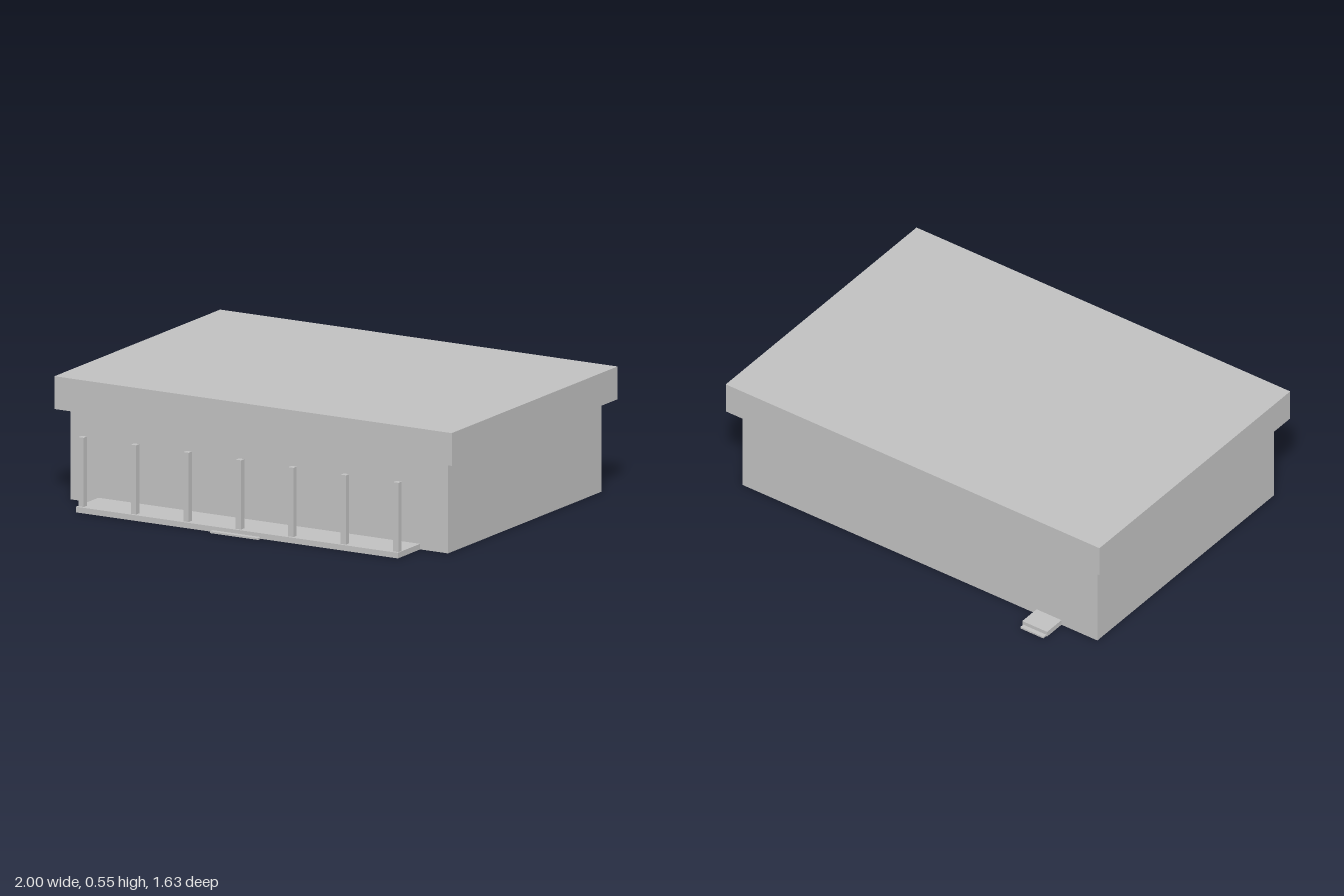
import * as THREE from 'three';

export function createModel() {
  const model = new THREE.Group();
  model.name = 'building';
  const grey = new THREE.MeshStandardMaterial({ color: 0xc0c0c0 });
  grey.name = 'light grey';

  // Box given by its minimum and maximum along each axis
  function block(name, [x0, x1], [y0, y1], [z0, z1], parent = model) {
    const mesh = new THREE.Mesh(new THREE.BoxGeometry(x1 - x0, y1 - y0, z1 - z0), grey);
    mesh.position.set((x0 + x1) / 2, (y0 + y1) / 2, (z0 + z1) / 2);
    mesh.name = name;
    parent.add(mesh);
  }

  // Main volume and overhanging flat roof
  block('walls', [-0.95, 0.95], [0, 0.407], [-0.69, 0.603]);
  block('roof', [-1, 1], [0.407, 0.553], [-0.743, 0.655]);

  // Front porch with its low step
  block('porchFloor', [-0.81, 0.81], [0, 0.025], [0.603, 0.792]);
  block('frontStep', [-0.122, 0.122], [0, 0.008], [0.792, 0.816]);

  // Row of slim porch posts
  const posts = new THREE.Group();
  posts.name = 'porchPosts';
  model.add(posts);
  for (let i = -3; i <= 3; i++) {
    const x = i * 0.264;
    block('porchPost', [x - 0.0135, x + 0.0135], [0.025, 0.333], [0.752, 0.779], posts);
  }

  // Back door landing and step
  block('backLanding', [-0.758, -0.625], [0, 0.025], [-0.795, -0.69]);
  block('backStep', [-0.753, -0.63], [0, 0.008], [-0.816, -0.795]);

  return model;
}
